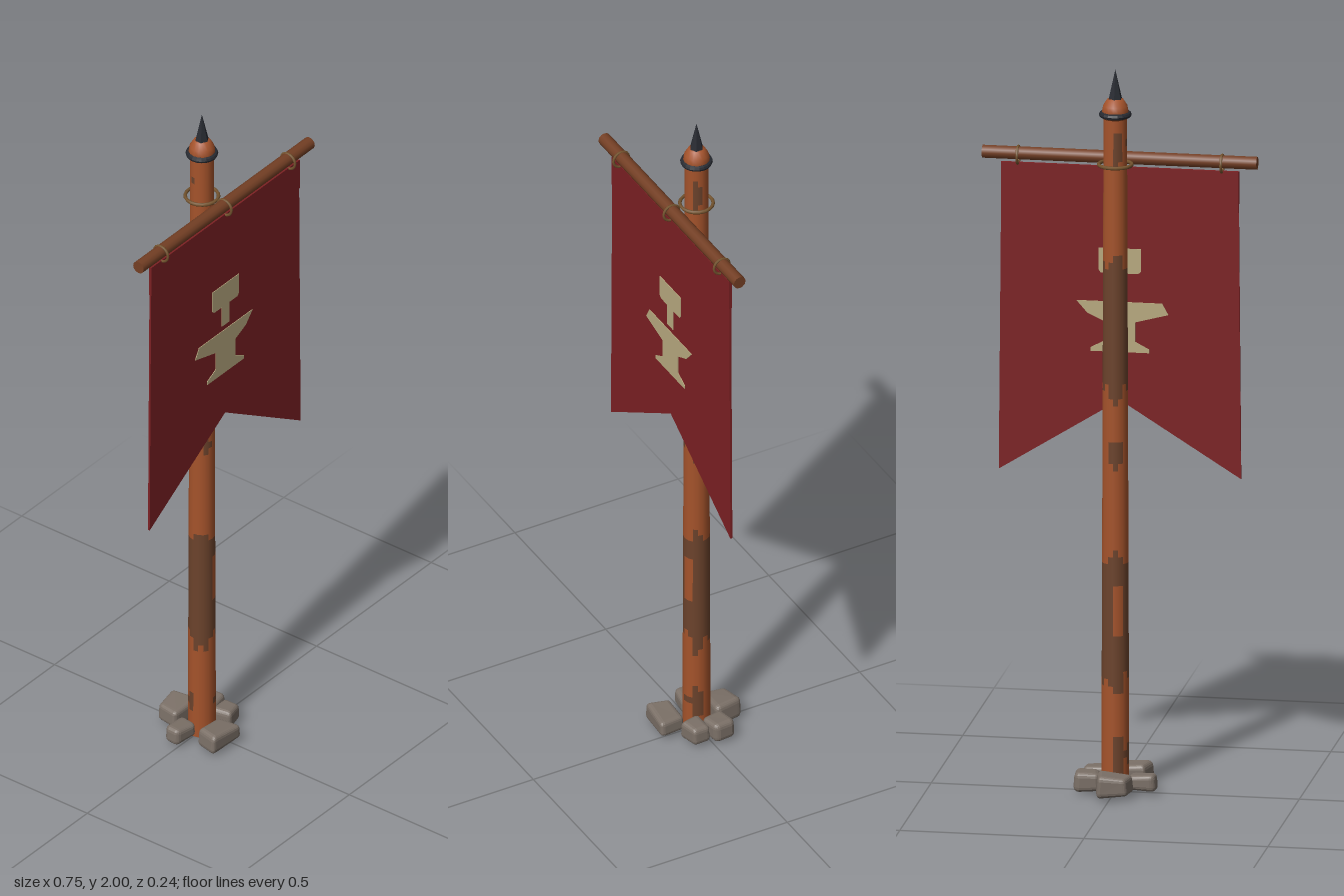
import * as THREE from 'three';
import { RoundedBoxGeometry } from 'three/addons/geometries/RoundedBoxGeometry.js';

const material = (name, color, flatShading = false) => {
  const m = new THREE.MeshStandardMaterial({ color, flatShading });
  m.name = name;
  return m;
};

export function createModel() {
  const group = new THREE.Group();
  const copper = material('weathered orange wood', 0xa5532b);
  const brown = material('dark worn wood', 0x6c432c);
  const rodWood = material('rod wood', 0x743f24);
  const iron = material('dark iron', 0x272a31, true);
  const rope = material('rope', 0x76552f);
  const cloth = material('red cloth', 0x7c2023);
  const cream = material('cream paint', 0xb9aa80);
  const stone = material('stone', 0x7b7067, true);

  const add = (name, geometry, mat, x = 0, y = 0, z = 0) => {
    const mesh = new THREE.Mesh(geometry, mat);
    mesh.name = name;
    mesh.position.set(x, y, z);
    group.add(mesh);
    return mesh;
  };

  // Tapered pole, its faces sorted into clean and worn patches
  const poleHeight = 1.87;
  const poleGeo = new THREE.CylinderGeometry(0.032, 0.038, poleHeight, 16, 94);
  const worn = (y, a) => {
    const ragged = 0.02 * Math.sign(Math.sin(a * 3 + 1)) + 0.012 * Math.sin(a * 5);
    const within = (lo, hi) => y > lo + ragged && y < hi - ragged * 0.6;
    const streak = Math.sin(a * 2 + 0.9) > 0.85 && y > 0.43 && y < 0.58;
    return (within(0.3, 0.65) && !streak) || within(1.11, 1.47) ||
      (within(0.07, 0.14) && Math.sin(a * 2) > -0.3) ||
      (within(0.93, 0.965) && Math.sin(a * 2 + 1) > -0.4) ||
      (within(1.77, 1.81) && Math.sin(a * 2) > 0);
  };
  const clean = [], dark = [];
  const idx = poleGeo.index.array, pos = poleGeo.attributes.position;
  const sideCount = 16 * 94 * 6;
  for (let i = 0; i < idx.length; i += 6) {
    const quad = Array.from(idx.slice(i, i + 6));
    let x = 0, y = 0, z = 0;
    quad.forEach(v => { x += pos.getX(v); y += pos.getY(v) / 6; z += pos.getZ(v); });
    const isWorn = i < sideCount && worn(y + poleHeight / 2, Math.atan2(x, z));
    (isWorn ? dark : clean).push(...quad);
  }
  poleGeo.setIndex([...clean, ...dark]);
  poleGeo.clearGroups();
  poleGeo.addGroup(0, clean.length, 0);
  poleGeo.addGroup(clean.length, dark.length, 1);
  add('pole', poleGeo, [copper, brown], 0, poleHeight / 2, 0);

  // Finial: iron collar, wooden cap and six-sided spike
  const collar = add('collar', new THREE.TorusGeometry(0.036, 0.008, 8, 20), iron, 0, 1.876, 0);
  collar.rotation.x = Math.PI / 2;
  const capProfile = [[0, 1.865], [0.034, 1.865], [0.036, 1.885], [0.033, 1.9], [0.022, 1.918], [0, 1.925]]
    .map(p => new THREE.Vector2(...p));
  add('cap', new THREE.LatheGeometry(capProfile, 16), copper);
  add('spike', new THREE.ConeGeometry(0.02, 0.085, 6), iron, 0, 1.9575, 0);

  // Crossbar and its rope bindings
  const rod = add('crossbar', new THREE.CylinderGeometry(0.018, 0.018, 0.746, 12), rodWood, 0, 1.737, 0.075);
  rod.rotation.z = Math.PI / 2;
  for (const x of [-0.277, 0, 0.277]) {
    const ring = add('hangingRing', new THREE.TorusGeometry(0.0235, 0.004, 6, 16), rope, x, 1.731, 0.077);
    ring.rotation.y = Math.PI / 2;
  }
  const poleRing = add('poleRope', new THREE.TorusGeometry(0.045, 0.005, 6, 18), rope, 0, 1.737, 0);
  poleRing.rotation.x = Math.PI / 2;

  // Swallow-tailed banner with a top hem
  const shapeOf = pts => new THREE.Shape(pts.map(p => new THREE.Vector2(...p)));
  const plate = (name, pts, depth, mat) => add(name,
    new THREE.ExtrudeGeometry(shapeOf(pts), { depth, bevelEnabled: false }), mat, 0, 0, 0.076 - depth / 2);
  plate('banner', [[-0.322, 1.71], [-0.329, 0.86], [0, 1.065], [0.329, 0.86], [0.322, 1.71]], 0.006, cloth);
  plate('hem', [[-0.323, 1.711], [-0.323, 1.62], [0.323, 1.62], [0.323, 1.711]], 0.0095, cloth);

  // Hammer and anvil emblem, showing on both faces
  plate('hammerEmblem', [[-0.058, 1.485], [-0.058, 1.423], [-0.05, 1.416], [-0.016, 1.416], [-0.016, 1.353],
    [0.016, 1.353], [0.016, 1.416], [0.052, 1.416], [0.058, 1.425], [0.058, 1.485]], 0.0095, cream);
  plate('anvilEmblem', [[-0.115, 1.337], [-0.132, 1.306], [-0.042, 1.282], [-0.042, 1.228], [-0.08, 1.208],
    [-0.08, 1.198], [0.08, 1.198], [0.08, 1.208], [0.042, 1.228], [0.042, 1.282], [0.088, 1.303], [0.118, 1.337]],
  0.0095, cream);

  // Rough stones around the foot: x, z, width, height, depth, turn
  const stones = [
    [-0.008, -0.08, 0.09, 0.056, 0.075, 0.02],
    [0.07, -0.028, 0.068, 0.05, 0.062, 0.15],
    [0.06, 0.036, 0.07, 0.05, 0.056, 0.12],
    [-0.032, 0.079, 0.1, 0.05, 0.07, -0.06],
    [-0.077, -0.014, 0.07, 0.046, 0.05, -0.08],
  ];
  stones.forEach(([x, z, w, h, d, turn], n) => {
    const geo = new RoundedBoxGeometry(w, h, d, 2, 0.013);
    const p = geo.attributes.position;
    for (let i = 0; i < p.count; i++) {
      const a = p.getX(i), b = p.getY(i), c = p.getZ(i);
      p.setXYZ(i,
        a * (1 + 0.1 * Math.sin(c * 50 + n * 2) - b * 2),
        b * (1 + 0.12 * Math.sin(a * 45 + n)) + 0.05 * c * Math.sin(n * 3),
        c * (1 + 0.1 * Math.sin(a * 40 + n * 1.7)));
    }
    geo.computeVertexNormals();
    add('baseStone', geo, stone, x, 0.01 + h / 2, z).rotation.y = turn;
  });

  return group;
}
